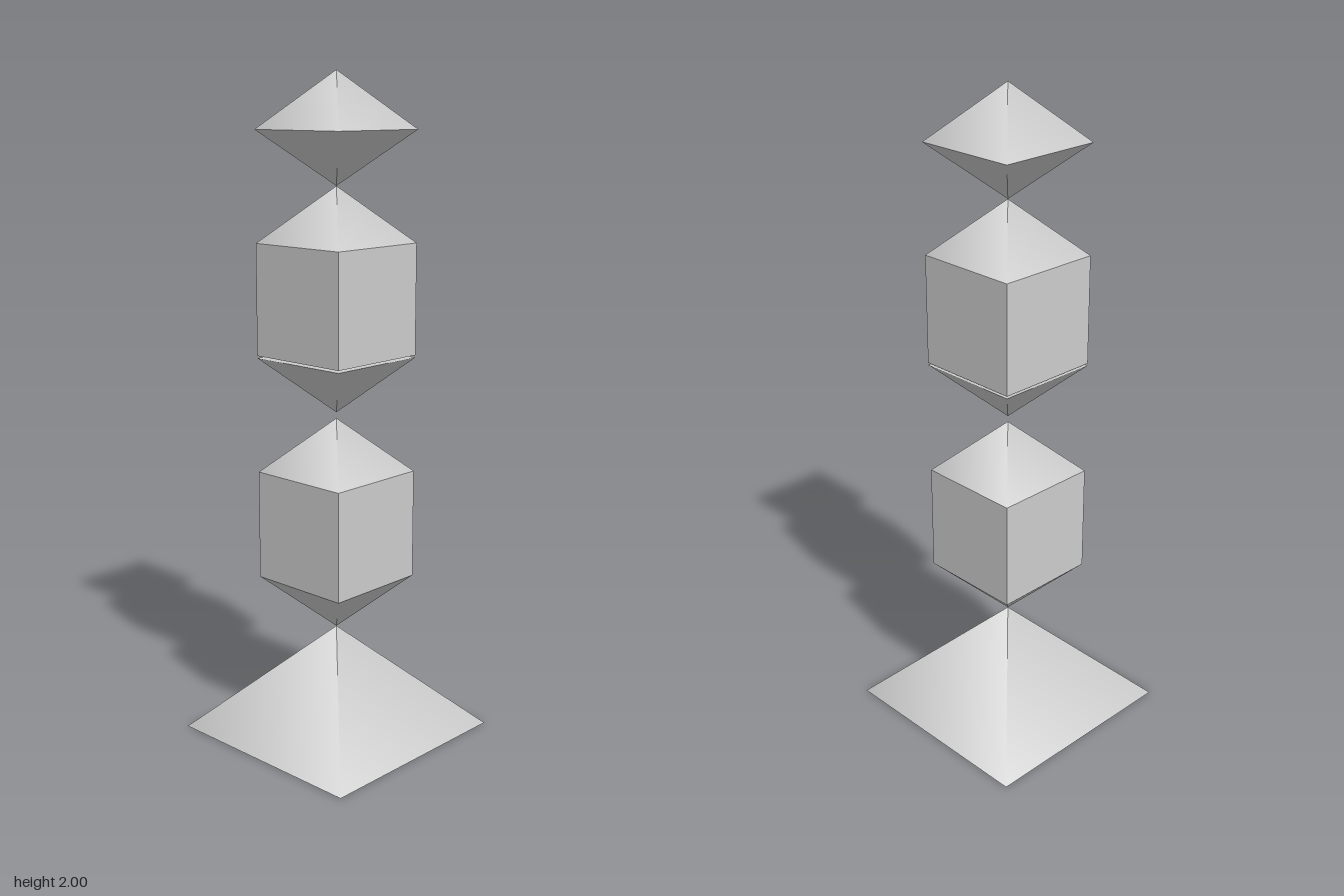
import * as THREE from 'three';

const material = new THREE.MeshStandardMaterial({ color: 0xcccccc });
const HALF = 0.165; // half width of the stacked blocks

export function createModel() {
  const group = new THREE.Group();

  const add = (name, geometry, y) => {
    const mesh = new THREE.Mesh(geometry, material);
    mesh.name = name;
    mesh.position.y = y;
    group.add(mesh);
  };

  // Square pyramid with smooth sides; its square sits at baseY, its tip at tipY
  const pyramid = (name, half, baseY, tipY) => {
    const height = Math.abs(tipY - baseY);
    const geometry = new THREE.ConeGeometry(half * Math.SQRT2, height, 4);
    geometry.rotateY(Math.PI / 4);
    if (tipY < baseY) geometry.rotateX(Math.PI);
    add(name, geometry, (baseY + tipY) / 2);
  };

  const cube = (name, bottom, top) =>
    add(name, new THREE.BoxGeometry(HALF * 2, top - bottom, HALF * 2), (bottom + top) / 2);

  // Wide foot
  pyramid('basePyramid', HALF * 2, 0, 0.331);

  // Lower block with a point at each end
  pyramid('lowerBlockBottom', HALF, 0.494, 0.331);
  cube('lowerBlock', 0.494, 0.826);
  pyramid('lowerBlockTop', HALF, 0.826, 0.991);

  // Upper block, with narrow gaps below it
  pyramid('upperBlockBottom', HALF, 1.174, 1.009);
  cube('upperBlock', 1.181, 1.512);
  pyramid('upperBlockTop', HALF, 1.512, 1.676);

  // Diamond finial
  pyramid('finialBottom', HALF, 1.835, 1.676);
  pyramid('finialTop', HALF, 1.835, 2);

  return group;
}
